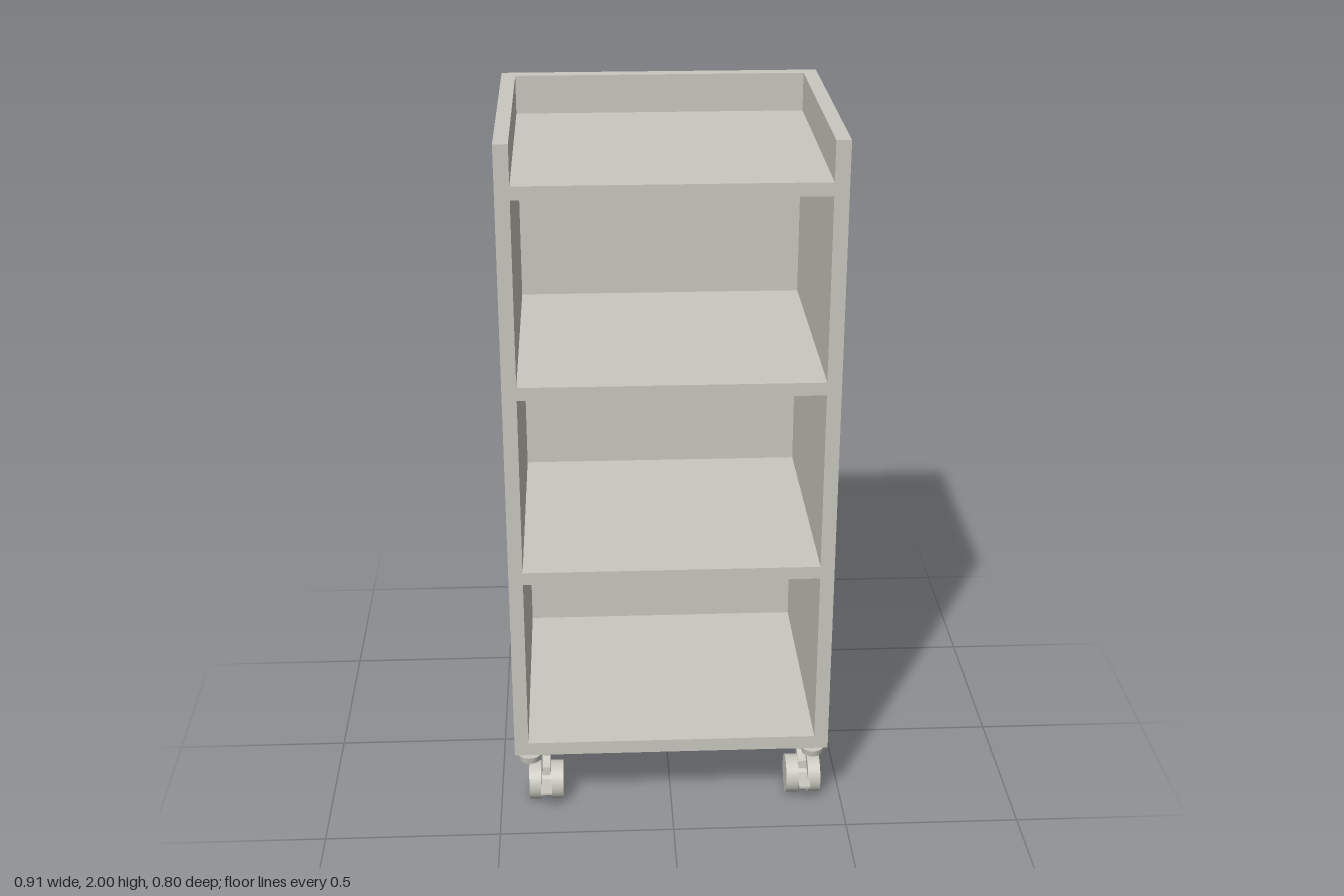
import * as THREE from 'three';

const paint = new THREE.MeshStandardMaterial({ color: 0xc9c8bf });
paint.name = 'warm grey';

function add(parent, name, geometry, x, y, z) {
  const mesh = new THREE.Mesh(geometry, paint);
  mesh.name = name;
  mesh.position.set(x, y, z);
  parent.add(mesh);
  return mesh;
}

// Box given by its lower and upper corners
function board(parent, name, [x0, y0, z0], [x1, y1, z1]) {
  const g = new THREE.BoxGeometry(x1 - x0, y1 - y0, z1 - z0);
  return add(parent, name, g, (x0 + x1) / 2, (y0 + y1) / 2, (z0 + z1) / 2);
}

// Twin-wheel swivel caster; origin on the floor under the stem, wheels trail to +z
function caster() {
  const g = new THREE.Group();
  g.name = 'caster';
  const axleY = 0.056, axleZ = 0.044;

  board(g, 'mountingPlate', [-0.046, 0.178, -0.046], [0.046, 0.186, 0.046]);
  add(g, 'swivelCollar', new THREE.CylinderGeometry(0.018, 0.014, 0.012, 24), 0, 0.172, 0);
  add(g, 'stem', new THREE.CylinderGeometry(0.01, 0.01, 0.11, 20), 0, 0.125, 0);

  for (const side of [-1, 1]) {
    const wheel = add(g, 'wheel', new THREE.CylinderGeometry(0.056, 0.056, 0.036, 40), side * 0.032, axleY, axleZ);
    wheel.rotation.z = Math.PI / 2;
  }
  const axle = add(g, 'axle', new THREE.CylinderGeometry(0.022, 0.022, 0.03, 24), 0, axleY, axleZ);
  axle.rotation.z = Math.PI / 2;

  // Curved hood between the wheels, joining the stem to the axle
  const s = new THREE.Shape();
  s.moveTo(-0.012, 0.115);
  s.lineTo(0.012, 0.115);
  s.quadraticCurveTo(0.03, 0.105, 0.05, 0.1);
  s.lineTo(0.056, 0.045);
  s.lineTo(0.01, 0.035);
  s.quadraticCurveTo(-0.012, 0.06, -0.012, 0.115);
  const hood = new THREE.ExtrudeGeometry(s, { depth: 0.024, bevelEnabled: false, curveSegments: 8 });
  hood.translate(0, 0, -0.012);
  hood.rotateY(-Math.PI / 2);
  add(g, 'hood', hood, 0, 0, 0);

  // Brake pedal
  board(g, 'brakePedal', [-0.016, 0.06, 0.06], [0.016, 0.067, 0.134]);
  return g;
}

export function createModel() {
  const model = new THREE.Group();
  model.name = 'shelfCart';

  // Cabinet carcass
  const W = 0.455, T = 0.04, front = 0.38, back = -0.4, floor = 0.187, deck = 0.227;
  board(model, 'baseBoard', [-W, floor, back], [W, deck, front]);
  board(model, 'backPanel', [-W, deck, back], [W, 2, back + T]);
  board(model, 'rightPanel', [-W, deck, back + T], [-W + T, 2, front]);
  board(model, 'leftPanel', [W - T, deck, back + T], [W, 2, front]);
  for (const y of [0.745, 1.3, 1.853]) {
    board(model, 'shelf', [-W + T, y, back + T], [W - T, y + 0.037, front]);
  }

  // Casters and the small round pads beside them
  for (const z of [0.265, -0.305]) {
    for (const [casterX, padX] of [[-0.367, -0.412], [0.39, 0.412]]) {
      const c = caster();
      c.position.set(casterX, 0, z);
      model.add(c);
      add(model, 'pad', new THREE.CylinderGeometry(0.034, 0.03, 0.02, 32), padX, floor - 0.01, z + 0.1);
    }
  }
  return model;
}
